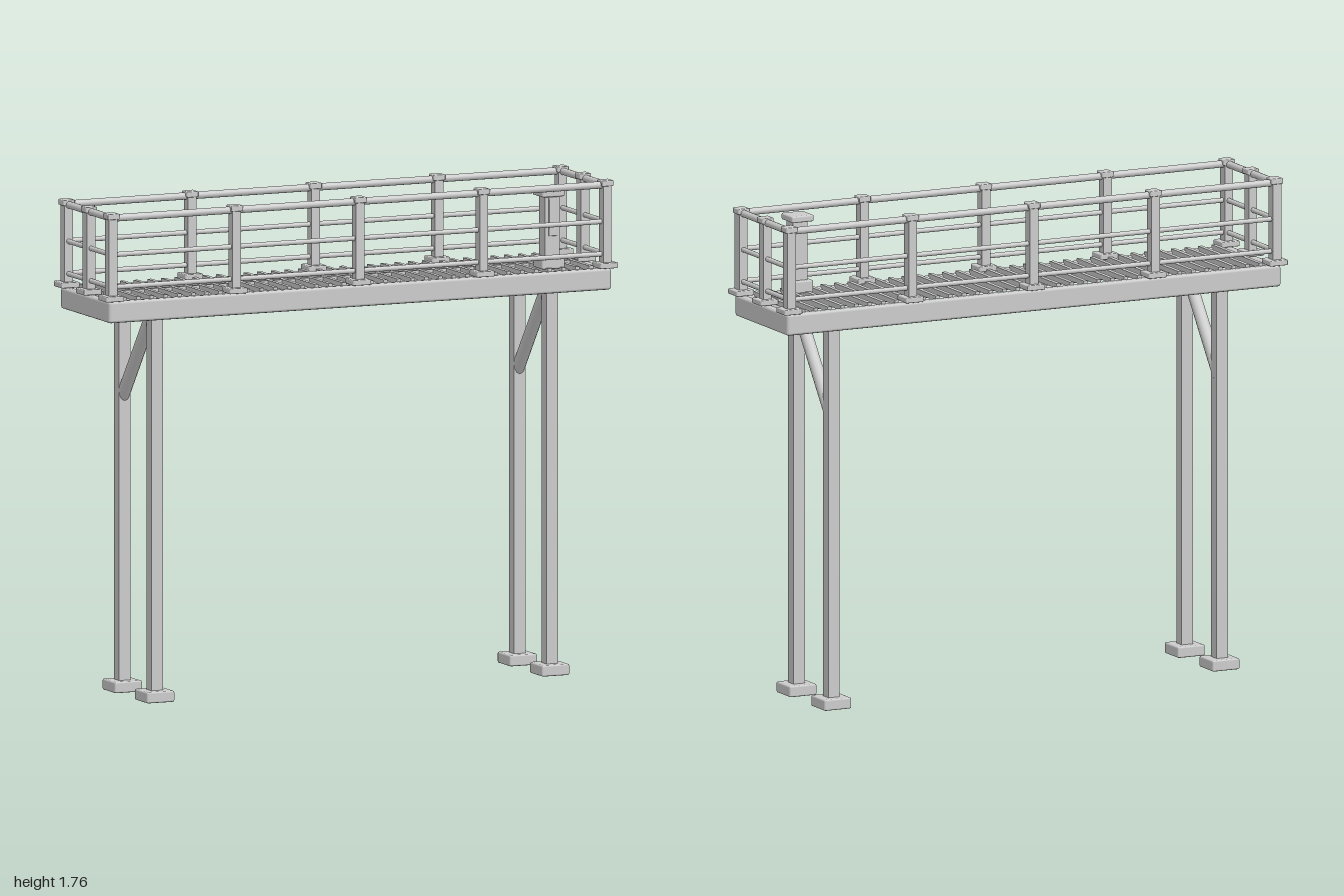
import * as THREE from 'three';
import { RoundedBoxGeometry } from 'three/addons/geometries/RoundedBoxGeometry.js';

const material = new THREE.MeshStandardMaterial({ color: 0xcccccc });

export function createModel() {
  const model = new THREE.Group();
  model.name = 'raisedWalkway';

  const add = (name, geometry, x, y, z) => {
    const mesh = new THREE.Mesh(geometry, material);
    mesh.name = name;
    mesh.position.set(x, y, z);
    model.add(mesh);
    return mesh;
  };
  const box = (name, w, h, d, x, y, z) => add(name, new THREE.BoxGeometry(w, h, d), x, y, z);
  const softBox = (name, w, h, d, x, y, z, r = 0.006) =>
    add(name, new RoundedBoxGeometry(w, h, d, 1, r), x, y, z);
  // Round bar between two points
  const bar = (name, a, b, radius, sides = 12) => {
    const from = new THREE.Vector3(...a), to = new THREE.Vector3(...b);
    const dir = to.clone().sub(from);
    const mid = from.clone().add(to).multiplyScalar(0.5);
    const mesh = add(name, new THREE.CylinderGeometry(radius, radius, dir.length(), sides), mid.x, mid.y, mid.z);
    mesh.quaternion.setFromUnitVectors(new THREE.Vector3(0, 1, 0), dir.normalize());
  };

  const X = 0.963, Z = 0.188;      // post lines at the ends and sides
  const legX = 0.77, legZ = 0.136;

  // Legs, feet and diagonal braces
  for (const x of [-legX, legX]) {
    for (const z of [-legZ, legZ]) {
      softBox('foot', 0.108, 0.04, 0.108, x, 0.02, z);
      box('leg', 0.045, 1.36, 0.042, x, 0.71, z);
    }
    bar('brace', [x, 1.39, 0.12], [x, 1.05, -0.136], 0.023);
  }

  // Deck frame
  for (const s of [-1, 1]) {
    softBox('sideBeam', 1.96, 0.077, 0.036, 0, 1.409, s * 0.189, 0.01);
    softBox('endBeam', 0.036, 0.077, 0.41, s * 0.962, 1.409, 0, 0.01);
  }

  // Grating
  const bars = 35, pitch = 0.0535;
  for (let i = 0; i < bars; i++) {
    box('gratingBar', 0.016, 0.018, 0.37, (i - (bars - 1) / 2) * pitch, 1.449, 0);
  }
  box('gratingStrip', 1.9, 0.014, 0.012, 0, 1.45, 0.018);

  // Railing posts with base plates and caps
  const posts = [[-X, 0], [X, 0]];
  for (let i = 0; i < 5; i++) {
    for (const s of [-1, 1]) posts.push([-X + (i * X) / 2, s * Z]);
  }
  for (const [x, z] of posts) {
    softBox('postPlate', 0.071, 0.02, 0.071, x, 1.459, z, 0.004);
    box('post', 0.033, 0.29, 0.036, x, 1.605, z);
    softBox('postCap', 0.046, 0.021, 0.046, x, 1.752, z, 0.004);
  }

  // Three rails around all four sides
  for (const [y, r] of [[1.745, 0.013], [1.614, 0.009], [1.498, 0.009]]) {
    for (const s of [-1, 1]) {
      bar('sideRail', [-X, y, s * Z], [X, y, s * Z], r);
      bar('endRail', [s * X, y, -Z], [s * X, y, Z], r);
    }
  }

  // Control pedestal on the deck
  softBox('pedestalBase', 0.09, 0.045, 0.08, legX, 1.475, 0.13);
  box('pedestalColumn', 0.056, 0.24, 0.052, legX, 1.605, 0.133);
  softBox('pedestalCap', 0.088, 0.024, 0.088, legX, 1.722, 0.127);
  softBox('pedestalPanel', 0.032, 0.14, 0.01, legX, 1.64, 0.16, 0.003);

  return model;
}
